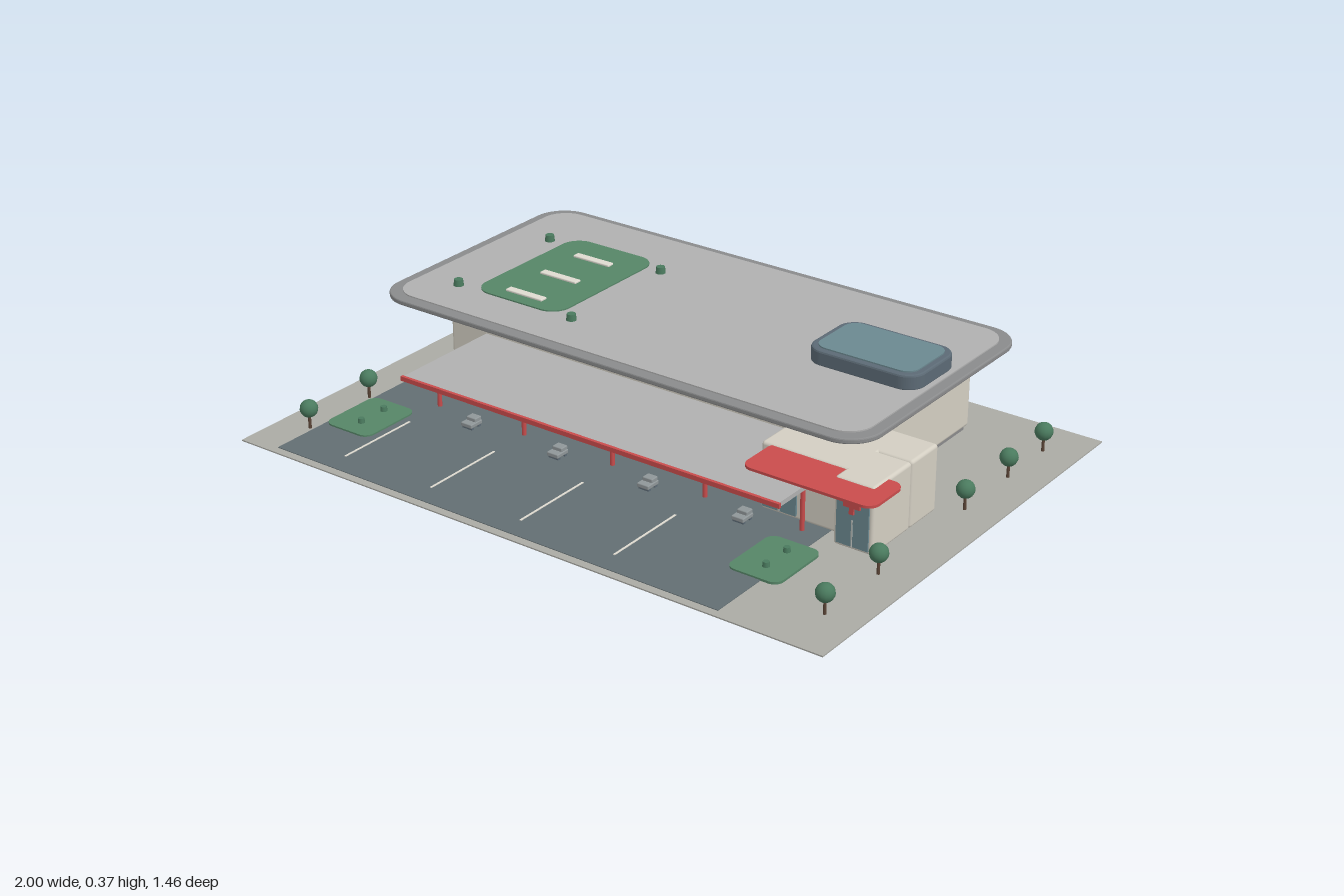
import * as THREE from 'three';
import { RoundedBoxGeometry } from 'three/addons/geometries/RoundedBoxGeometry.js';

const mat = (color) => new THREE.MeshStandardMaterial({ color });
const M = {
  ground: mat(0xaaaaa4), asphalt: mat(0x626e72), wall: mat(0xd3cec2), roof: mat(0xb0b0b0),
  rim: mat(0x8a8b8c), slate: mat(0x5c6a75), glass: mat(0x6b8890), frame: mat(0xb8bcb8),
  lawn: mat(0x568567), leaf: mat(0x4a7a5e), trunk: mat(0x5a4436), red: mat(0xc94c4c),
  line: mat(0xdedad0), bench: mat(0x8f9698),
};

export function createModel() {
  const root = new THREE.Group();

  function add(name, geo, material, parent = root) {
    const mesh = new THREE.Mesh(geo, material);
    mesh.name = name;
    parent.add(mesh);
    return mesh;
  }
  // Box given by its extents; r > 0 rounds its edges
  function box(name, [x0, x1], [y0, y1], [z0, z1], material, r = 0, parent = root) {
    const s = [x1 - x0, y1 - y0, z1 - z0];
    const geo = r ? new RoundedBoxGeometry(...s, 3, r) : new THREE.BoxGeometry(...s);
    const mesh = add(name, geo, material, parent);
    mesh.position.set((x0 + x1) / 2, (y0 + y1) / 2, (z0 + z1) / 2);
    return mesh;
  }
  // Flat slab with rounded corners in plan and an optional bevelled edge
  function slab(name, [x0, x1], [y0, y1], [z0, z1], r, material, bevel = 0, parent = root) {
    const w = (x1 - x0) / 2 - bevel, d = (z1 - z0) / 2 - bevel;
    const s = new THREE.Shape();
    s.moveTo(-w + r, -d);
    s.absarc(w - r, -d + r, r, -Math.PI / 2, 0);
    s.absarc(w - r, d - r, r, 0, Math.PI / 2);
    s.absarc(-w + r, d - r, r, Math.PI / 2, Math.PI);
    s.absarc(-w + r, -d + r, r, Math.PI, Math.PI * 1.5);
    const geo = new THREE.ExtrudeGeometry(s, {
      depth: y1 - y0 - 2 * bevel, bevelEnabled: bevel > 0, bevelSize: bevel,
      bevelThickness: bevel, bevelSegments: 2, curveSegments: 10,
    });
    geo.rotateX(-Math.PI / 2);
    geo.translate((x0 + x1) / 2, y0 + bevel, (z0 + z1) / 2);
    return add(name, geo, material, parent);
  }
  function shrub(x, y, z, r) {
    const mesh = add('shrub', new THREE.CylinderGeometry(r * 0.85, r, r * 1.3, 10), M.leaf);
    mesh.position.set(x, y + r * 0.65, z);
  }

  // Site
  box('ground', [-1, 1], [0, 0.004], [-0.73, 0.73], M.ground);
  box('parkingLot', [-0.88, 0.665], [0.003, 0.006], [0, 0.705], M.asphalt);
  for (const x of [-0.685, -0.363, -0.042, 0.278])
    box('parkingLine', [x - 0.003, x + 0.003], [0.005, 0.008], [0.36, 0.635], M.line);
  for (const x of [-0.795, 0.635]) {
    slab('lawn', [x - 0.083, x + 0.083], [0.004, 0.011], [0.3, 0.515], 0.03, M.lawn);
    for (const z of [0.355, 0.452]) shrub(x + 0.005, 0.011, z, 0.011);
  }

  // Main block
  box('plinth', [-0.83, 0.64], [0.003, 0.03], [-0.56, -0.02], M.rim);
  box('mainBlock', [-0.84, 0.65], [0.016, 0.31], [-0.572, -0.012], M.wall, 0.012);

  // Two rows of upper windows
  for (const [y, h] of [[0.271, 0.036], [0.209, 0.034]])
    for (let i = 0; i < 9; i++) {
      const x = -0.697 + i * 0.16;
      box('windowFrame', [x - 0.052, x + 0.052], [y - h / 2 - 0.003, y + h / 2 + 0.003], [-0.015, -0.009], M.frame);
      box('windowPane', [x - 0.047, x + 0.047], [y - h / 2, y + h / 2], [-0.013, -0.005], M.glass);
    }

  // Overhanging roof
  slab('roofRim', [-0.905, 0.79], [0.306, 0.322], [-0.62, 0.245], 0.1, M.rim, 0.004);
  slab('roofDeck', [-0.87, 0.755], [0.318, 0.326], [-0.59, 0.21], 0.08, M.roof);

  // Roof garden with benches
  slab('roofGarden', [-0.68, -0.365], [0.324, 0.33], [-0.422, 0.065], 0.06, M.lawn);
  for (const z of [-0.31, -0.15, 0.01])
    box('gardenBench', [-0.59, -0.455], [0.328, 0.336], [z - 0.013, z + 0.013], M.line, 0.003);
  for (const x of [-0.735, -0.31])
    for (const z of [-0.365, 0.065]) shrub(x, 0.325, z, 0.016);

  // Skylight
  slab('skylightBase', [0.38, 0.74], [0.322, 0.37], [-0.335, -0.098], 0.05, M.slate, 0.006);
  slab('skylightGlass', [0.4, 0.72], [0.366, 0.374], [-0.317, -0.116], 0.04, M.glass);

  // Covered walk along the front
  box('walkCanopy', [-0.7, 0.615], [0.136, 0.15], [-0.02, 0.36], M.roof);
  box('canopyEdge', [-0.705, 0.62], [0.137, 0.151], [0.358, 0.368], M.red);
  for (let i = 0; i < 5; i++) {
    const post = add('canopyPost', new THREE.CylinderGeometry(0.007, 0.007, 0.135, 10), M.red);
    post.position.set(-0.685 + i * 0.3215, 0.072, 0.225);
  }
  for (let i = 0; i < 4; i++) {
    const x = -0.52 + i * 0.32;
    const bench = new THREE.Group();
    bench.name = 'bench';
    root.add(bench);
    box('benchSeat', [x - 0.02, x + 0.02], [0.012, 0.025], [0.25, 0.3], M.bench, 0.003, bench);
    box('benchBack', [x - 0.017, x + 0.017], [0.023, 0.036], [0.25, 0.278], M.bench, 0.003, bench);
    for (const z of [0.26, 0.29])
      box('benchFoot', [x - 0.018, x + 0.018], [0.005, 0.014], [z - 0.005, z + 0.005], M.slate, 0, bench);
  }

  // Entrance wing
  box('rearWing', [0.56, 0.835], [0.008, 0.212], [-0.08, 0.055], M.wall, 0.01);
  box('lobby', [0.44, 0.73], [0.008, 0.212], [0.02, 0.19], M.wall, 0.01);
  box('entranceTower', [0.71, 0.835], [0.008, 0.212], [0.055, 0.243], M.wall, 0.01);
  box('lobbyGlass', [0.45, 0.56], [0.02, 0.185], [0.185, 0.196], M.glass);
  box('towerGlass', [0.722, 0.823], [0.02, 0.19], [0.24, 0.248], M.glass);
  for (const x of [0.505, 0.7725]) {
    const z = x < 0.6 ? 0.196 : 0.248;
    box('doorMullion', [x - 0.002, x + 0.002], [0.02, 0.1], [z - 0.004, z + 0.002], M.frame);
  }
  box('crossBar', [0.746, 0.798], [0.138, 0.152], [0.247, 0.254], M.red);
  box('crossBar', [0.765, 0.779], [0.119, 0.171], [0.247, 0.2545], M.red);
  slab('entranceCanopy', [0.47, 0.885], [0.2, 0.208], [0.17, 0.333], 0.035, M.red);

  // Rows of trees on both sides
  for (const x of [-0.895, 0.892])
    for (const z of [-0.575, -0.375, -0.138, 0.303, 0.557]) {
      const tree = new THREE.Group();
      tree.name = 'tree';
      tree.position.set(x, 0.004, z);
      root.add(tree);
      add('trunk', new THREE.CylinderGeometry(0.004, 0.005, 0.05, 8), M.trunk, tree).position.y = 0.025;
      add('crown', new THREE.SphereGeometry(0.027, 14, 10), M.leaf, tree).position.y = 0.063;
    }

  return root;
}
